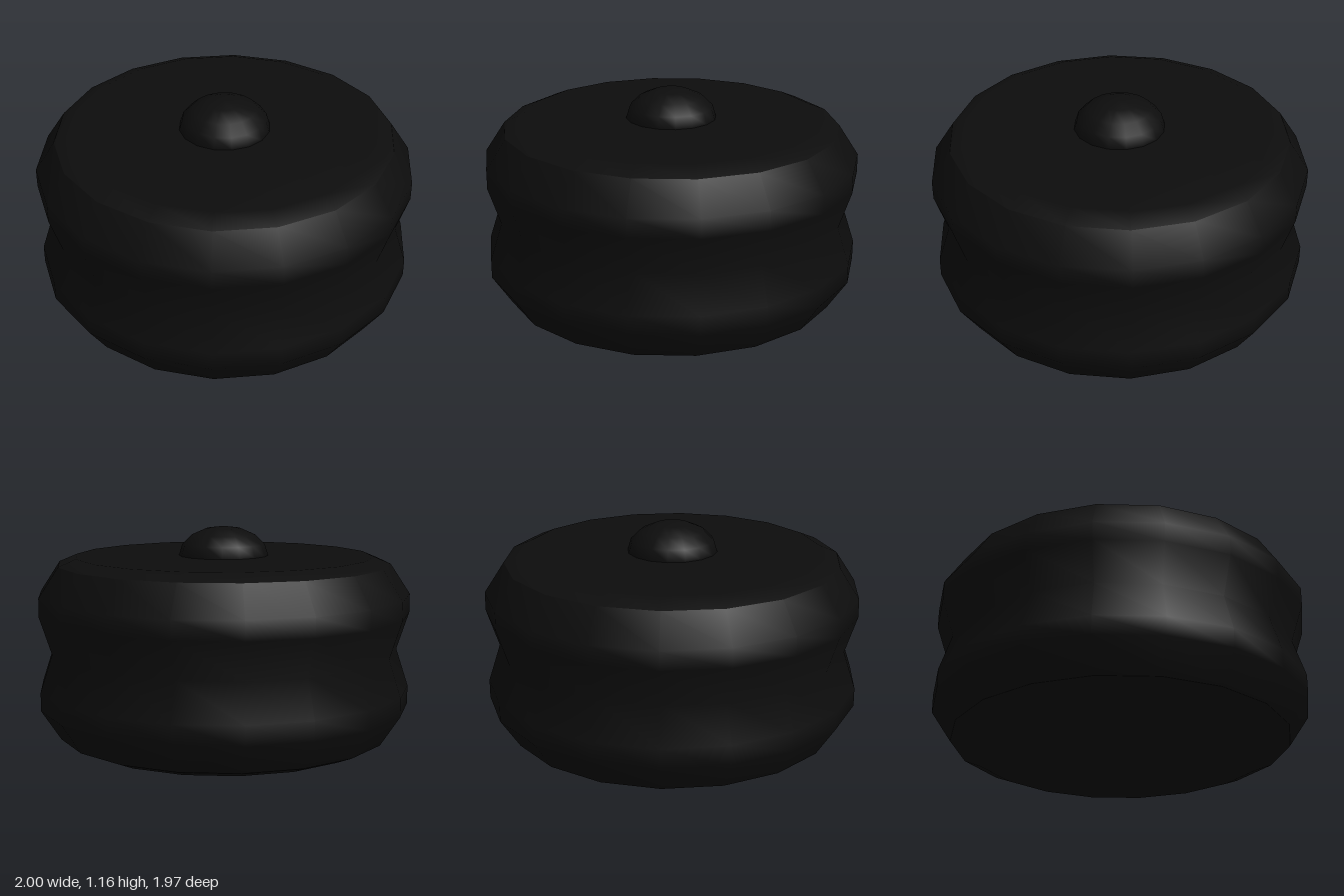
import * as THREE from 'three';

const SIDES = 18;

export function createModel() {
  const group = new THREE.Group();
  const material = new THREE.MeshStandardMaterial({ color: 0x0d0d0d });

  // Turned part from [radius, height] pairs, listed bottom to top, with a corner on the x axis
  const turned = (name, profile) => {
    const points = profile.map(([r, y]) => new THREE.Vector2(r, y));
    const mesh = new THREE.Mesh(new THREE.LatheGeometry(points, SIDES, Math.PI / 2), material);
    mesh.name = name;
    group.add(mesh);
  };

  // Separate pieces keep a sharp shading edge where the caps meet the rim
  turned('bottomCap', [[0, 0], [0.8, 0], [0.895, 0.04]]);
  turned('groovedRim', [
    [0.895, 0.04], [1, 0.2], [1, 0.3], [0.935, 0.5], [1, 0.7], [1, 0.8], [0.895, 0.96],
  ]);
  turned('topCap', [[0.895, 0.96], [0.8, 1], [0, 1]]);

  // Flattened dome in the middle of the top
  const knob = new THREE.Mesh(
    new THREE.SphereGeometry(0.24, 16, 4, 0, Math.PI * 2, 0, Math.PI / 2),
    material,
  );
  knob.scale.y = 0.157 / 0.24;
  knob.position.y = 1;
  knob.name = 'topKnob';
  group.add(knob);

  return group;
}
